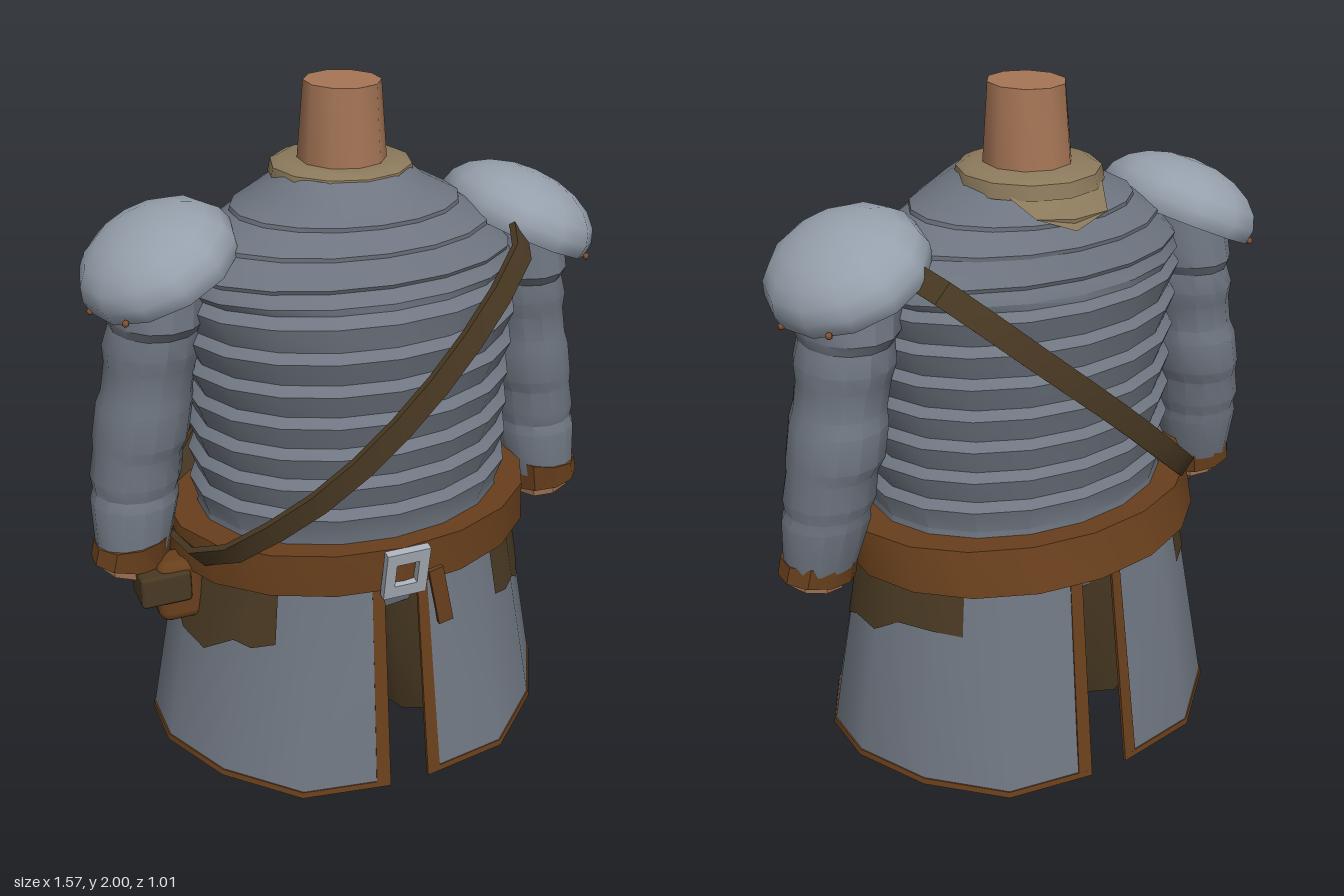
import * as THREE from 'three';
import { toCreasedNormals } from 'three/addons/utils/BufferGeometryUtils.js';
import { RoundedBoxGeometry } from 'three/addons/geometries/RoundedBoxGeometry.js';

const mat = (name, color, side = THREE.FrontSide) => {
  const m = new THREE.MeshStandardMaterial({ color, side });
  m.name = name;
  return m;
};
const steel = mat('steel', 0x6f7681, THREE.DoubleSide);
const brightSteel = mat('bright steel', 0x96a0ac, THREE.DoubleSide);
const leather = mat('leather', 0x683f1c, THREE.DoubleSide);
const darkLeather = mat('dark leather', 0x493923, THREE.DoubleSide);
const linen = mat('linen', 0x8c7a5c, THREE.DoubleSide);
const skin = mat('skin', 0xa67656);
const silver = mat('silver', 0xaab1ba);
const copper = mat('copper', 0x845232);

// Surface through rows of points; wrap closes each row, caps fill the first and last row
function grid(rows, wrap = false, caps = false, crease = 0.6) {
  const n = rows[0].length, pos = rows.flat(2), idx = [];
  for (let i = 0; i < rows.length - 1; i++) {
    for (let j = 0; j < (wrap ? n : n - 1); j++) {
      const a = i * n + j, a1 = i * n + (j + 1) % n;
      idx.push(a, a + n, a1 + n, a, a1 + n, a1);
    }
  }
  if (caps) {
    const e = (rows.length - 1) * n;
    for (let j = 1; j < n - 1; j++) idx.push(0, j, j + 1, e, e + j + 1, e + j);
  }
  const g = new THREE.BufferGeometry();
  g.setAttribute('position', new THREE.Float32BufferAttribute(pos, 3));
  g.setIndex(idx);
  return toCreasedNormals(g, crease);
}

// Elliptical cross-section: [y, centre x, radius x, centre z, radius z, tilt]
const ring = ([y, cx, rx, cz, rz, tilt = 0], seg) => Array.from({ length: seg }, (_, j) => {
  const t = (j / seg) * Math.PI * 2;
  return [cx + rx * Math.sin(t), y + tilt * Math.sin(t), cz + rz * Math.cos(t)];
});
const loft = (rows, seg = 12, crease = 0.6) => grid(rows.map(r => ring(r, seg)), true, true, crease);
// Torso row from its half width and its front and back depth
const body = (y, rx, front, back) => [y, 0, rx, (front + back) / 2, (front - back) / 2];

// Skirt outline for one side, front slit to back slit: x and z at the hem, x and z at the waist
const FRONT = [[0.06, 0.5, 0.05, 0.412], [0.32, 0.46, 0.26, 0.36], [0.51, 0.29, 0.42, 0.228], [0.62, 0.09, 0.51, 0.075]];
const OUTLINE = [...FRONT, ...FRONT.map(([a, b, c, d]) => [a, -b, c, -d]).reverse()];
function outlineAt(u) {
  const i = Math.min(Math.floor(u), OUTLINE.length - 2);
  return OUTLINE[i].map((v, k) => v + (OUTLINE[i + 1][k] - v) * (u - i));
}
const hemY = u => 0.07 - 0.07 * Math.abs(outlineAt(u)[1]);
function skirtPoint(u, y, side, off = 0) {
  const [hx, hz, wx, wz] = outlineAt(u), t = (y - 0.05) / 0.62, k = 1 + off / 0.45;
  return [side * k * (hx + (wx - hx) * t), y, k * (hz + (wz - hz) * t)];
}
// Closed trim band on the skirt between two heights
const trim = (us, top, bottom, side) => grid(us.map(u => [
  skirtPoint(u, top(u), side, 0.003), skirtPoint(u, bottom(u), side, 0.003),
  skirtPoint(u, bottom(u), side, -0.006), skirtPoint(u, top(u), side, -0.006)]), true, true);

export function createModel() {
  const model = new THREE.Group();
  model.name = 'armouredTunic';
  const add = (name, geometry, material, parent = model) => {
    const m = new THREE.Mesh(geometry, material);
    m.name = name;
    parent.add(m);
    return m;
  };

  // Neck and collar
  add('neck', loft([[2, 0, 0.105, -0.03, 0.115], [1.74, 0, 0.127, -0.035, 0.13]], 10, 0.8), skin);
  add('collar', loft([[1.788, 0, 0.17, -0.04, 0.17], [1.775, 0, 0.197, -0.043, 0.2],
    [1.735, 0, 0.205, -0.043, 0.208]], 12), linen);

  // Torso: overlapping sloping chest plates over a stack of bands
  const chest = [body(1.77, 0.18, 0.16, -0.2), body(1.735, 0.22, 0.212, -0.232),
    body(1.68, 0.325, 0.252, -0.268), body(1.668, 0.328, 0.25, -0.266),
    body(1.615, 0.415, 0.292, -0.297), body(1.603, 0.417, 0.29, -0.294),
    body(1.54, 0.485, 0.325, -0.318), body(1.528, 0.482, 0.318, -0.312), body(1.495, 0.495, 0.345, -0.328)];
  const bands = [];
  for (let i = 0; i < 7; i++) {
    const top = 1.475 - i * 0.094, w = 0.5 - Math.min(i, 3) * 0.006, d = i ? 0 : 0.012;
    bands.push(body(top, w - 0.026, 0.368 - 2 * d, -0.327), body(top - 0.024, w, 0.393 - d, -0.348));
  }
  add('torso', loft([...chest, ...bands, body(0.817, 0.46, 0.37, -0.33), body(0.76, 0.47, 0.37, -0.34)], 18, 0.5), steel);

  // Torn linen hanging from the collar over the upper back
  const chestPoint = (j, y) => {
    const i = Math.max(0, chest.findIndex(r => r[0] <= y) - 1), a = chest[i], b = chest[i + 1];
    const t = (a[0] - y) / (a[0] - b[0]), r = a.map((v, k) => v + (b[k] - v) * t);
    return ring([y + 0.005, 0, r[2] + 0.005, r[3], r[4] + 0.005], 18)[j];
  };
  const ragged = [1.735, 1.69, 1.65, 1.68, 1.735];
  add('linenBackPatch', grid([1.76, 1.735, 1.68, 1.668, 1.65].map(y =>
    ragged.map((low, k) => chestPoint(7 + k, Math.max(low, y))))), linen);

  // Belt, buckle and hanging strap end
  add('belt', loft([body(0.8, 0.552, 0.43, -0.4), body(0.67, 0.562, 0.432, -0.44)], 18), leather);
  const rect = (x, y) => [[-x, -y], [x, -y], [x, y], [-x, y]].map(p => new THREE.Vector2(...p));
  const frame = new THREE.Shape(rect(0.065, 0.08));
  frame.holes.push(new THREE.Path(rect(0.034, 0.039).reverse()));
  const buckle = add('buckle', new THREE.ExtrudeGeometry(frame, { depth: 0.024, bevelEnabled: false }), silver);
  buckle.position.set(0, 0.732, 0.431);
  buckle.rotation.x = 0.18;
  const tail = add('beltTail', new THREE.BoxGeometry(0.045, 0.19, 0.014), leather);
  tail.position.set(0.112, 0.625, 0.44);
  tail.rotation.z = 0.2;

  // Hips between the skirt halves
  add('hips', loft([[0.7, 0, 0.42, 0.01, 0.27], [0.46, 0, 0.36, 0.01, 0.21]], 12), steel);

  for (const s of [1, -1]) {
    const side = new THREE.Group();
    side.name = s > 0 ? 'leftSide' : 'rightSide';
    model.add(side);

    // Leg
    add('leg', loft([[0.56, s * 0.22, 0.22, 0.015, 0.235], [0.25, s * 0.25, 0.222, 0.015, 0.23],
      [0, s * 0.258, 0.172, 0.015, 0.18]], 8, 0.9), darkLeather, side);

    // Skirt half with hem, slit edging and torn hip patch
    const us = OUTLINE.map((_, i) => i);
    add('skirt', grid([us.map(u => skirtPoint(u, 0.7, s)), us.map(u => skirtPoint(u, hemY(u), s))]), steel, side);
    add('hemTrim', trim(us, u => hemY(u) + 0.018, hemY, s), leather, side);
    for (const edge of [[0, 0.16], [6.84, 7]]) add('slitTrim', trim(edge, () => 0.69, hemY, s), leather, side);
    const tear = [[1.42, 0.5], [1.75, 0.475], [2, 0.49], [2.55, 0.42], [3, 0.455], [3.3, 0.475],
      [4, 0.485], [4.4, 0.53], [5, 0.535], [5.4, 0.525]];
    add('hipPatch', grid([tear.map(([u]) => skirtPoint(u, 0.69, s, 0.004)),
      tear.map(([u, y]) => skirtPoint(u, y, s, 0.004))]), darkLeather, side);

    // Sleeve in overlapping plates, cuff and wrist
    const arm = rows => rows.map(([y, cx, rx, cz, rz, tilt = 0]) => [y, s * cx, rx, cz, rz, s * tilt]);
    add('sleeve', loft(arm([
      [1.62, 0.52, 0.12, -0.01, 0.14], [1.5, 0.54, 0.137, -0.015, 0.16], [1.42, 0.55, 0.138, -0.017, 0.172],
      [1.39, 0.555, 0.126, -0.02, 0.152], [1.33, 0.565, 0.136, -0.025, 0.157], [1.28, 0.572, 0.128, -0.025, 0.143],
      [1.2, 0.587, 0.127, -0.025, 0.139], [1.16, 0.595, 0.135, -0.03, 0.148], [1.06, 0.612, 0.136, -0.032, 0.147],
      [1.02, 0.623, 0.127, -0.03, 0.132], [0.94, 0.635, 0.131, -0.028, 0.131], [0.9, 0.64, 0.121, -0.025, 0.119],
      [0.87, 0.645, 0.127, -0.02, 0.124], [0.72, 0.665, 0.107, -0.002, 0.1]]), 14, 0.5), steel, side);
    add('cuff', loft(arm([[0.755, 0.663, 0.114, 0, 0.107, -0.012], [0.678, 0.677, 0.112, 0, 0.1, 0.015]]), 10), leather, side);
    add('wrist', loft(arm([[0.7, 0.675, 0.088, 0.005, 0.08], [0.645, 0.68, 0.08, 0.005, 0.07, 0.014]]), 8), skin, side);
    add('wristEnd', loft(arm([[0.646, 0.68, 0.078, 0.005, 0.068, 0.014], [0.643, 0.68, 0.078, 0.005, 0.068, 0.014]]), 8), steel, side);

    // Domed shoulder plate with rivets along its outer rim
    const shoulder = new THREE.Group();
    shoulder.name = 'shoulderPlate';
    shoulder.position.set(s * 0.537, 1.564, -0.01);
    shoulder.rotation.z = -s * 0.42;
    side.add(shoulder);
    const dome = new THREE.SphereGeometry(1, 12, 6, 0, Math.PI * 2, 0, Math.PI * 0.58);
    dome.scale(0.226, 0.14, 0.262);
    add('dome', dome, brightSteel, shoulder);
    for (const a of [-0.75, 0, 0.75]) {
      add('rivet', new THREE.SphereGeometry(0.01, 6, 4), copper, shoulder)
        .position.set(s * 0.222 * Math.cos(a), -0.025, 0.258 * Math.sin(a));
    }
  }

  // Strap running from the left shoulder to the right hip, front and back
  const path = new THREE.CatmullRomCurve3([[0.455, 1.6, 0], [0.43, 1.585, 0.24], [0.21, 1.4, 0.4], [-0.01, 1.2, 0.45],
    [-0.18, 1.05, 0.44], [-0.32, 0.93, 0.39], [-0.5, 0.77, 0.24], [-0.535, 0.73, 0], [-0.47, 0.79, -0.2],
    [-0.29, 0.95, -0.35], [-0.07, 1.15, -0.41], [0.16, 1.35, -0.41], [0.41, 1.57, -0.28]]
    .map(p => new THREE.Vector3(...p)), true);
  const across = new THREE.Vector3(-0.66, 0.75, 0), strap = [];
  for (let i = 0; i <= 24; i++) {
    const p = path.getPointAt((i % 24) / 24);
    const n = path.getTangentAt((i % 24) / 24).cross(across).normalize();
    strap.push([[1, 1], [1, -1], [-1, -1], [-1, 1]].map(([a, b]) =>
      p.clone().addScaledVector(across, a * 0.034).addScaledVector(n, b * 0.01).toArray()));
  }
  add('strap', grid(strap, true), darkLeather);

  // Pouch on the right hip
  const pouch = new THREE.Group();
  pouch.name = 'pouch';
  pouch.position.set(-0.555, 0.6, 0.07);
  model.add(pouch);
  add('pouchBody', new RoundedBoxGeometry(0.14, 0.2, 0.11, 2, 0.035), leather, pouch);
  add('pouchFlap', new RoundedBoxGeometry(0.15, 0.1, 0.12, 1, 0.012), darkLeather, pouch).position.set(-0.05, 0.025, 0.005);
  return model;
}
